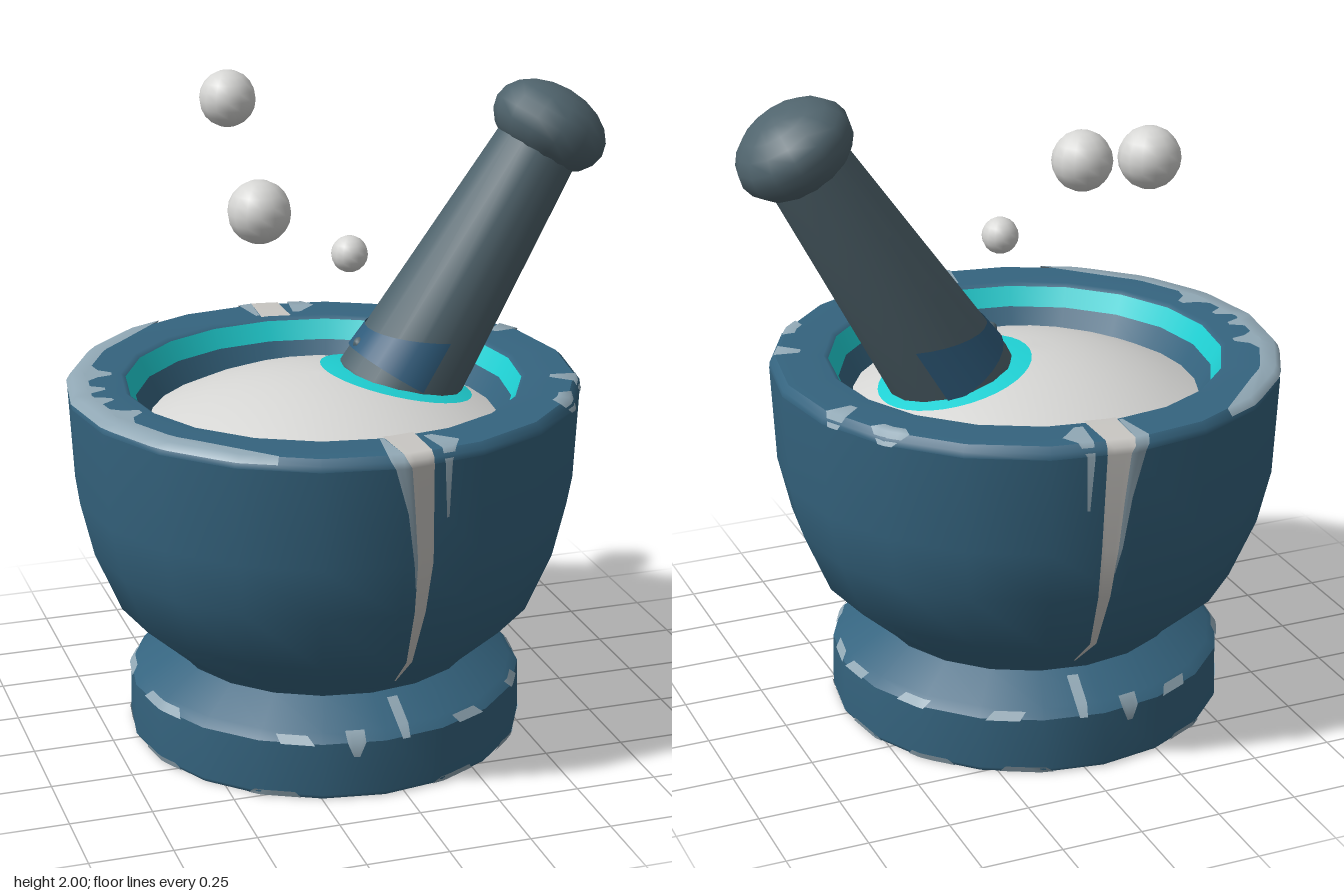
import * as THREE from 'three';

const SIDES = 20, CX = -0.06;
const mat = (name, color, side = THREE.FrontSide) => {
  const m = new THREE.MeshStandardMaterial({ color, side });
  m.name = name;
  return m;
};

export function createModel() {
  const blue = mat('glazed blue', 0x35647f);
  const bluePaint = mat('blue tint', 0x2f5c7c, THREE.DoubleSide);
  const slate = mat('slate', 0x50646d);
  const white = mat('cream white', 0xd6d6d4);
  const teal = mat('bright teal', 0x1fd0d3, THREE.DoubleSide);
  const streakMat = mat('pale streak', 0xc9c7c3, THREE.DoubleSide);
  const wear = mat('worn edge', 0x91a8b5, THREE.DoubleSide);

  const root = new THREE.Group();
  root.name = 'mortarAndPestle';
  const add = (parent, name, geo, material, pos) => {
    const m = new THREE.Mesh(geo, material);
    m.name = name;
    if (pos) m.position.set(...pos);
    parent.add(m);
    return m;
  };
  const lathe = (pts, n = SIDES) =>
    new THREE.LatheGeometry(pts.map(p => new THREE.Vector2(...p)), n);

  // Mortar, split at its creases so edges stay sharp
  const mortar = new THREE.Group();
  mortar.name = 'mortar';
  mortar.position.x = CX;
  root.add(mortar);
  const sections = {
    underside: [[0, 0], [0.605, 0]],
    footSide: [[0.605, 0], [0.615, 0.015], [0.612, 0.18]],
    footShoulder: [[0.612, 0.18], [0.585, 0.205], [0.475, 0.275]],
    bowlOuter: [[0.475, 0.275], [0.49, 0.295], [0.65, 0.44], [0.73, 0.63], [0.77, 0.8], [0.785, 1.1]],
    lip: [[0.785, 1.1], [0.783, 1.118], [0.765, 1.135]],
    rimTop: [[0.765, 1.135], [0.62, 1.135], [0.605, 1.125]],
    innerWall: [[0.575, 1.065], [0.525, 0.97]],
  };
  for (const [name, pts] of Object.entries(sections)) add(mortar, name, lathe(pts), blue);
  add(mortar, 'innerBand', lathe([[0.605, 1.125], [0.575, 1.065]]), teal);

  // Domed contents
  const domeY = r => 1.0 + 0.143 * (1 - (r / 0.535) ** 2);
  const domePts = [0.535, 0.45, 0.36, 0.27, 0.18, 0.09, 0].map(r => [r, domeY(r)]);
  add(mortar, 'contents', lathe(domePts, 28), white);

  // Glowing ring where the pestle enters, laid over the dome
  const ring = new THREE.RingGeometry(0.1, 0.235, 36, 4);
  ring.rotateX(-Math.PI / 2);
  const rp = ring.attributes.position;
  for (let i = 0; i < rp.count; i++) {
    const x = rp.getX(i) + 0.235, z = rp.getZ(i);
    rp.setXYZ(i, x, domeY(Math.hypot(x, z)) + 0.008, z);
  }
  ring.computeVertexNormals();
  add(mortar, 'contactRing', ring, teal);

  // Painted patch: rows of [radius, y, startAngle, endAngle] hugging the faceted wall
  const step = 2 * Math.PI / SIDES;
  const facet = a => {
    const k = ((a % step) + step) % step;
    return Math.cos(step / 2) / Math.cos(k - step / 2);
  };
  const patch = (name, rows, material, back = false, lift = 0.004) => {
    const pos = [], idx = [];
    const n = Math.max(4, Math.ceil((rows[0][3] - rows[0][2]) / 0.05));
    rows.forEach(([r, y, a0, a1]) => {
      for (let j = 0; j <= n; j++) {
        let a = a0 + (a1 - a0) * j / n;
        if (back) a = Math.PI - a;
        const R = r * facet(a) + lift;
        pos.push(R * Math.sin(a), y, R * Math.cos(a));
      }
    });
    for (let i = 0; i < rows.length - 1; i++)
      for (let j = 0; j < n; j++) {
        const p = i * (n + 1) + j, q = p + n + 1;
        if (back) idx.push(p, p + 1, q, p + 1, q + 1, q);
        else idx.push(p, q, p + 1, p + 1, q, q + 1);
      }
    // rows run downward, so the corner order above faces outward
    const g = new THREE.BufferGeometry();
    g.setAttribute('position', new THREE.Float32BufferAttribute(pos, 3));
    g.setIndex(idx);
    g.computeVertexNormals();
    add(mortar, name, g, material);
  };

  // Pale drips over the rim, front and back
  const TOP = 1.139;
  for (const back of [false, true]) {
    patch('drip', [[0.61, TOP, -0.03, 0.13], [0.765, TOP, -0.01, 0.105], [0.783, 1.12, 0, 0.105],
      [0.785, 1.1, 0.015, 0.105], [0.77, 0.8, 0.05, 0.115], [0.73, 0.63, 0.06, 0.11],
      [0.65, 0.44, 0.075, 0.105], [0.52, 0.322, 0.11, 0.12]], streakMat, back);
    patch('dripEdge', [[0.63, TOP, -0.05, -0.03], [0.765, TOP, -0.07, -0.01], [0.783, 1.12, -0.06, 0],
      [0.785, 1.1, -0.045, 0.015], [0.778, 0.96, 0.005, 0.033], [0.77, 0.8, 0.035, 0.05],
      [0.75, 0.715, 0.052, 0.056]], wear, back);
    patch('dripSide', [[0.65, TOP, 0.15, 0.19], [0.72, TOP, 0.15, 0.26], [0.765, TOP, 0.15, 0.21],
      [0.785, 1.1, 0.15, 0.18], [0.777, 0.93, 0.165, 0.175]], wear, back);
    patch('footDrip', [[0.5, 0.264, 0.08, 0.15], [0.585, 0.209, 0.08, 0.14], [0.612, 0.175, 0.09, 0.13]], wear, back);
    patch('footSpot', [[0.585, 0.21, -0.2, -0.1], [0.612, 0.18, -0.19, -0.1], [0.613, 0.135, -0.16, -0.13]], wear, back);
  }

  // Worn rim: long arc on the right side with teeth, small chips on the left
  const H = Math.PI / 2;
  for (const back of [false, true]) {
    patch('rimWear', [[0.72, TOP, -H, -H + 0.75], [0.767, TOP, -H, -H + 1.1],
      [0.784, 1.118, -H, -H + 1.1]], wear, back);
    patch('rimTooth', [[0.645, TOP, -H + 0.27, -H + 0.31], [0.69, TOP, -H + 0.24, -H + 0.34],
      [0.73, TOP, -H + 0.18, -H + 0.42]], wear, back);
    patch('rimToothSmall', [[0.675, TOP, -H + 0.06, -H + 0.09], [0.73, TOP, -H + 0.02, -H + 0.13]], wear, back);
    patch('rimChip', [[0.69, TOP, H - 0.38, H - 0.34], [0.767, TOP, H - 0.42, H - 0.32],
      [0.786, 1.1, H - 0.4, H - 0.35]], wear, back);
    patch('rimChip', [[0.73, TOP, H - 0.68, H - 0.58], [0.767, TOP, H - 0.72, H - 0.55],
      [0.786, 1.1, H - 0.66, H - 0.6]], wear, back);
    for (const a of [-1.9, -1.3, -0.55, 0.4, 0.9, 1.35]) {
      patch('footTopWear', [[0.595, 0.2, a, a + 0.16], [0.613, 0.176, a + 0.03, a + 0.2]], wear, back);
      patch('footBottomWear', [[0.615, 0.022, a - 0.1, a + 0.1], [0.608, 0.002, a - 0.14, a + 0.13]], wear, back);
    }
  }

  // Pestle, built upright along its axis and then leaned toward +x
  const pestle = new THREE.Group();
  pestle.name = 'pestle';
  pestle.position.set(0.664, 1.857, 0);
  pestle.rotation.z = -Math.atan2(0.53, 0.85);
  root.add(pestle);
  add(pestle, 'shaft', lathe([[0, -1.06], [0.13, -1.03], [0.19, -0.94], [0.128, -0.04]], 16), slate);
  const head = new THREE.SphereGeometry(0.185, 14, 10);
  head.scale(1, 0.125 / 0.185, 1);
  add(pestle, 'head', head, slate);

  // Blue stain on the shaft just above the contents
  const stain = new THREE.CylinderGeometry(0.184, 0.193, 0.14, 16, 1, true, Math.PI * 0.875, Math.PI * 1.125);
  const sp = stain.attributes.position;
  for (let i = 0; i < sp.count; i++) // upper edge dips toward -x to stay level
    if (sp.getY(i) > 0) sp.setY(i, 0.07 + 0.5 * (sp.getX(i) + 0.06));
  add(pestle, 'stain', stain, bluePaint, [0, -0.815, 0]);

  // Floating drops
  [[-0.2, 1.885, -0.55, 0.09], [-0.285, 1.685, 0.09, 0.095], [0.02, 1.51, 0.01, 0.056]].forEach(
    ([x, y, z, r]) => add(root, 'drop', new THREE.SphereGeometry(r, 14, 10), white, [x, y, z]));
  add(root, 'tinyDrop', new THREE.SphereGeometry(0.02, 8, 6), slate, [0.055, 1.22, 0]);

  return root;
}
